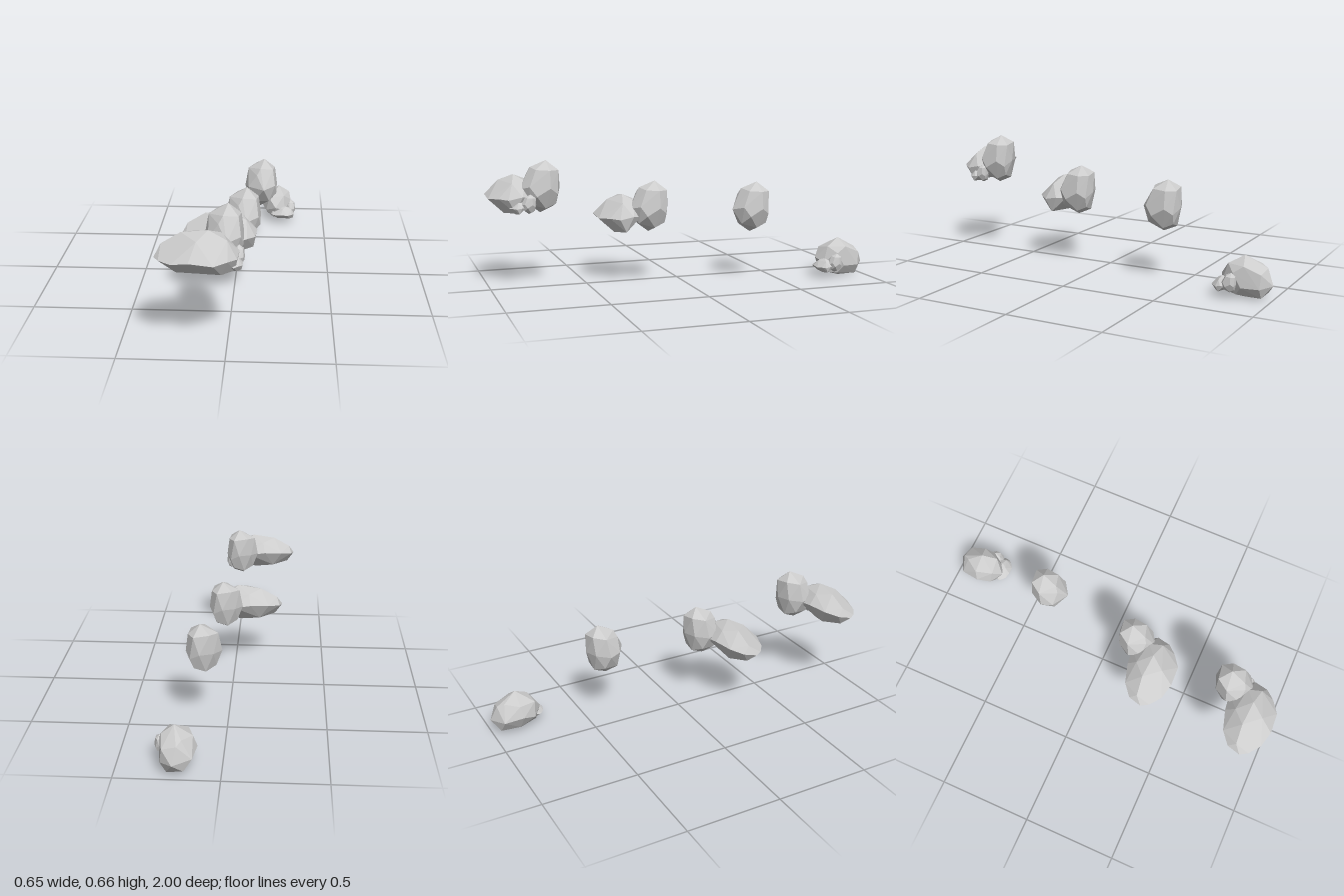
import * as THREE from 'three';
import { ConvexGeometry } from 'three/addons/geometries/ConvexGeometry.js';

const material = new THREE.MeshStandardMaterial({ color: 0xcccccc, flatShading: true });
const hull = (corners) => new ConvexGeometry(corners.map((c) => new THREE.Vector3(...c)));

// upright boulder with a blunt point facing forward
const boulderGeometry = hull([
  // crown
  [0, 0.27, 0.07], [0.06, 0.22, 0.06], [0.05, 0.225, 0.13], [-0.02, 0.235, 0.15],
  [-0.09, 0.22, 0.08], [-0.05, 0.23, 0.02], [0.03, 0.22, 0.01],
  // waist
  [0, 0.125, 0.207], [0.062, 0.14, 0.165], [0.072, 0.09, 0.13], [0.072, 0.13, 0.06],
  [0.05, 0.1, 0.02], [0, 0.13, 0], [-0.07, 0.13, 0.025], [-0.108, 0.12, 0.095],
  [-0.088, 0.13, 0.155], [-0.04, 0.2, 0.165],
  // foot
  [-0.02, 0, 0.1], [0.035, 0.025, 0.08], [0.03, 0.05, 0.165], [-0.06, 0.04, 0.15],
  [-0.08, 0.05, 0.07], [-0.03, 0.03, 0.03], [0.03, 0.05, 0.025],
]);

// long low slab, tapering towards -x
const slabGeometry = hull([
  // rim
  [-0.325, 0.07, 0.165], [-0.31, 0.085, 0.095], [-0.25, 0.1, 0.045], [-0.15, 0.11, 0.015],
  [-0.06, 0.1, 0.005], [0.03, 0.08, 0.06], [0.058, 0.085, 0.105], [0.05, 0.07, 0.175],
  [0.01, 0.075, 0.22], [-0.05, 0.07, 0.265], [-0.16, 0.085, 0.27], [-0.24, 0.07, 0.25],
  [-0.3, 0.07, 0.205],
  // top
  [-0.295, 0.123, 0.13], [-0.205, 0.175, 0.12], [-0.08, 0.19, 0.13], [0.005, 0.15, 0.15],
  [-0.13, 0.16, 0.2], [-0.02, 0.16, 0.08], [-0.14, 0.16, 0.06],
  // underside
  [-0.285, 0.028, 0.13], [-0.225, 0.005, 0.18], [-0.02, 0, 0.19], [0.04, 0.003, 0.14],
  [-0.1, 0, 0.1], [-0.2, 0.02, 0.07],
]);

function rock(name, geometry, x, y, z) {
  const mesh = new THREE.Mesh(geometry, material);
  mesh.name = name;
  mesh.position.set(x, y, z);
  return mesh;
}

// a boulder with a slab leaning in front of it
function rockPair(name, x, y, z, scale = 1) {
  const pair = new THREE.Group();
  pair.name = name;
  pair.add(rock('boulder', boulderGeometry, 0, 0, 0), rock('slab', slabGeometry, 0, 0.005, 0.095));
  pair.position.set(x, y, z);
  pair.scale.setScalar(scale);
  return pair;
}

export function createModel() {
  const model = new THREE.Group();
  model.name = 'rocks';

  // large pairs
  model.add(rockPair('frontRockPair', 0, 0.385, 0.635));
  model.add(rockPair('middleRockPair', 0.063, 0.267, 0.073));

  // single boulders, the last one lying on its back
  model.add(rock('loneBoulder', boulderGeometry, 0.14, 0.25, -0.475));
  const lying = rock('lyingBoulder', boulderGeometry, 0.225, 0, -0.73);
  lying.rotation.x = -Math.PI / 2;
  model.add(lying);

  // small pairs beside the larger rocks
  model.add(rockPair('frontPebbles', 0.053, 0.388, 0.767, 0.37));
  model.add(rockPair('backPebbles', 0.298, 0.03, -0.84, 0.37));

  return model;
}
